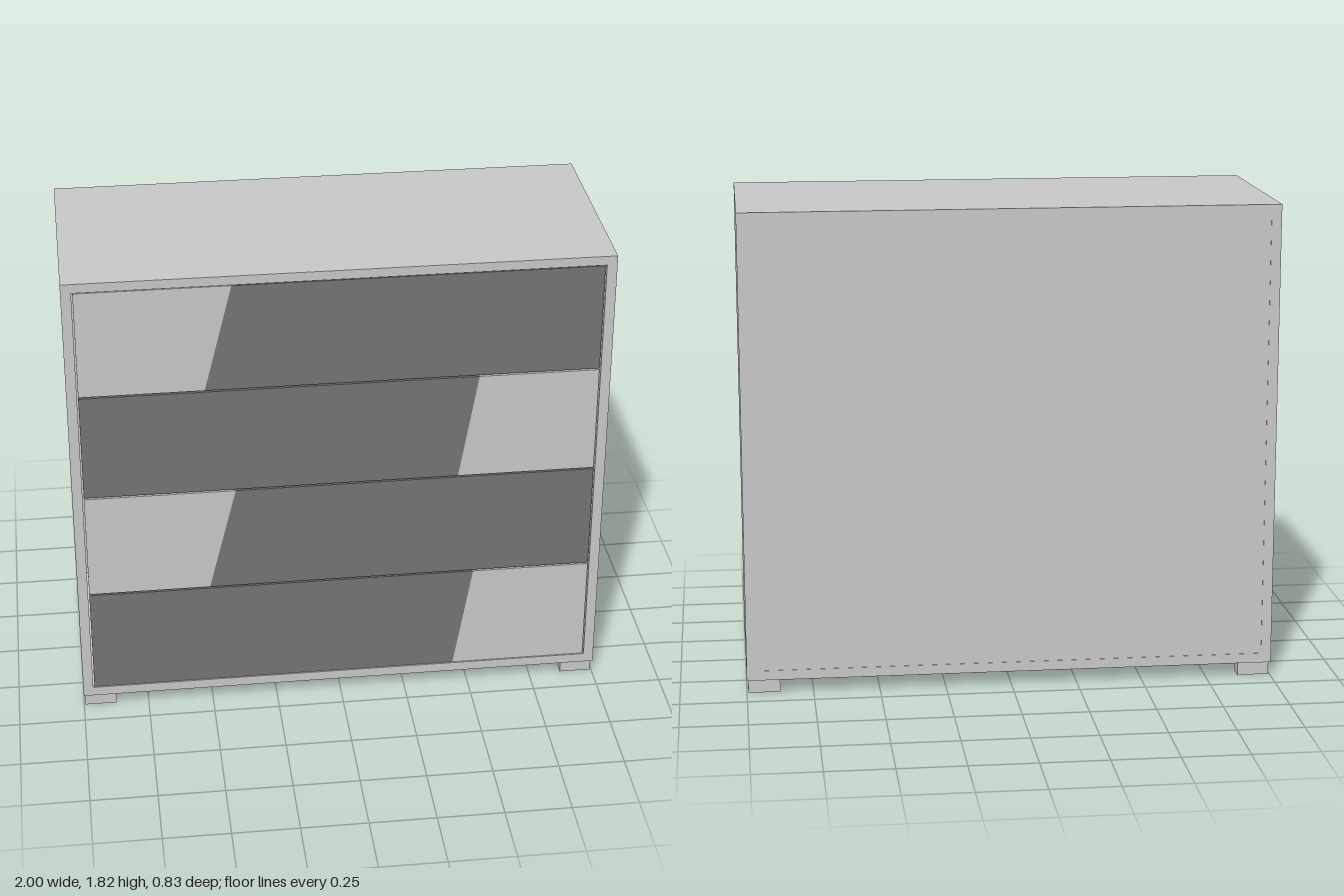
import * as THREE from 'three';

export function createModel() {
  const model = new THREE.Group();
  model.name = 'chestOfDrawers';

  const lightPanel = new THREE.MeshStandardMaterial({ color: 0xc9c9c9 });
  lightPanel.name = 'lightPanel';
  const darkPanel = new THREE.MeshStandardMaterial({ color: 0x757575 });
  darkPanel.name = 'darkPanel';

  const D = 0.415; // half depth

  // Box given by its minimum and maximum corners
  function box(name, x0, x1, y0, y1, z0, z1) {
    const mesh = new THREE.Mesh(new THREE.BoxGeometry(x1 - x0, y1 - y0, z1 - z0), lightPanel);
    mesh.position.set((x0 + x1) / 2, (y0 + y1) / 2, (z0 + z1) / 2);
    mesh.name = name;
    model.add(mesh);
  }

  // Carcass
  box('topBoard', -1, 1, 1.785, 1.82, -D, D);
  box('baseBoard', -1, 1, 0.053, 0.09, -D, D);
  box('rightSide', -1, -0.962, 0.09, 1.785, -D, D);
  box('leftSide', 0.962, 1, 0.09, 1.785, -D, D);
  box('backPanel', -0.962, 0.962, 0.09, 1.785, -D + 0.002, -D + 0.012);

  // Feet
  for (const [sx, side] of [[-1, 'Right'], [1, 'Left']]) {
    for (const [sz, end] of [[-1, 'back'], [1, 'front']]) {
      const x = sx * 0.935, z = sz * 0.37;
      box(end + side + 'Foot', x - 0.06, x + 0.06, 0, 0.053, z - 0.028, z + 0.028);
    }
  }

  // One part of a drawer front: a four-sided board with slanted ends
  const thick = 0.035;
  function frontPart(name, material, lowX0, lowX1, highX0, highX1, height) {
    const shape = new THREE.Shape([
      new THREE.Vector2(lowX0, 0), new THREE.Vector2(lowX1, 0),
      new THREE.Vector2(highX1, height), new THREE.Vector2(highX0, height),
    ]);
    const mesh = new THREE.Mesh(
      new THREE.ExtrudeGeometry(shape, { depth: thick, bevelEnabled: false }), material);
    mesh.name = name;
    return mesh;
  }

  // Four drawers, with the light end alternating from side to side
  const pitch = (1.785 - 0.09) / 4, gap = 0.006, edge = 0.957;
  for (let i = 0; i < 4; i++) {
    const drawer = new THREE.Group();
    drawer.name = 'drawer' + (i + 1);
    drawer.position.set(0, 0.09 + i * pitch + gap / 2, D - thick - 0.001);
    const lightOnLeft = i % 2 === 0;
    const [low, high] = lightOnLeft ? [0.44, 0.51] : [-0.5, -0.395];
    const h = pitch - gap;
    drawer.add(
      frontPart('frontRightPart', lightOnLeft ? darkPanel : lightPanel, -edge, low, -edge, high, h),
      frontPart('frontLeftPart', lightOnLeft ? lightPanel : darkPanel, low, edge, high, edge, h));
    model.add(drawer);
  }

  return model;
}
